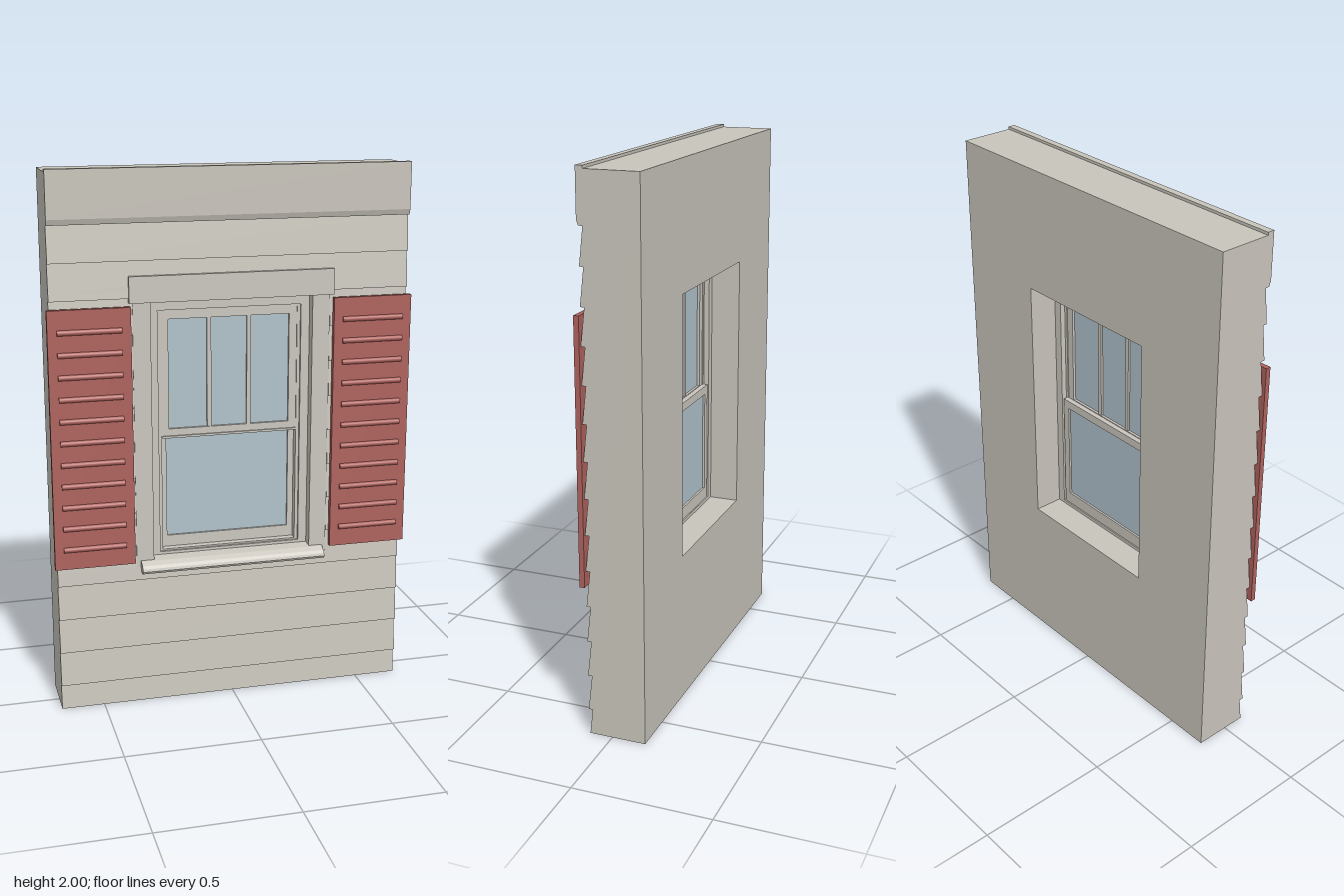
import * as THREE from 'three';

const mat = (name, color, side = THREE.FrontSide) => {
  const m = new THREE.MeshStandardMaterial({ color, side });
  m.name = name;
  return m;
};

export function createModel() {
  const wallMat = mat('wall paint', 0xc8c4bb);
  const trimMat = mat('trim paint', 0xcac6be);
  const shutterMat = mat('shutter red', 0xae625d);
  const glassMat = mat('glass blue', 0xb1c2cb);
  const model = new THREE.Group();

  const add = (name, geo, material, parent = model) => {
    const mesh = new THREE.Mesh(geo, material);
    mesh.name = name;
    parent.add(mesh);
    return mesh;
  };
  const group = (name) => {
    const g = new THREE.Group();
    g.name = name;
    model.add(g);
    return g;
  };
  // box given by its limits
  const box = (x0, x1, y0, y1, z0, z1) =>
    new THREE.BoxGeometry(x1 - x0, y1 - y0, z1 - z0)
      .translate((x0 + x1) / 2, (y0 + y1) / 2, (z0 + z1) / 2);
  // rectangular plate with a rectangular hole; limits are [half width, bottom, top]
  const frame = ([w, b, t], [hw, hb, ht], z0, z1) => {
    const corners = (a, lo, hi) => [[-a, lo], [a, lo], [a, hi], [-a, hi]].map((p) => new THREE.Vector2(...p));
    const s = new THREE.Shape(corners(w, b, t));
    s.holes.push(new THREE.Path(corners(hw, hb, ht)));
    return new THREE.ExtrudeGeometry(s, { depth: z1 - z0, bevelEnabled: false }).translate(0, 0, z0);
  };
  // (z, y) profile swept along x
  const sweep = (points, x0, x1) => {
    const s = new THREE.Shape(points.map((p) => new THREE.Vector2(...p)));
    return new THREE.ExtrudeGeometry(s, { depth: x1 - x0, bevelEnabled: false })
      .rotateY(-Math.PI / 2).translate(x1, 0, 0);
  };

  // wall core with the window opening
  const W = 0.66, FACE = 0.07, OPEN = [0.3, 0.565, 1.53];
  add('wall', frame([W, 0, 1.99], OPEN, -0.125, FACE), wallMat);

  // lapped siding: each board leans out towards its bottom edge
  const STEP = 0.132, FIRST = 0.095 - STEP, OUT = 0.089, IN = 0.074;
  const siding = group('siding');
  const boards = (x0, x1, lo, hi) => {
    for (let k = 0; k < 14; k++) {
      const b = FIRST + k * STEP, y0 = Math.max(b, lo), y1 = Math.min(b + STEP, hi);
      if (y1 - y0 < 0.001) continue;
      const z = (y) => OUT + (IN - OUT) * (y - b) / STEP;
      add('sidingBoard', sweep([[FACE, y0], [z(y0), y0], [z(y1), y1], [FACE, y1]], x0, x1), wallMat, siding);
    }
  };
  boards(-W, W, 0, 0.54);
  boards(-W, -0.365, 0.54, 1.57);
  boards(0.365, W, 0.54, 1.57);
  boards(-W, W, 1.57, 1.83);
  add('friezeBoard', sweep([[FACE, 1.81], [0.089, 1.81], [0.096, 1.83], [0.096, 2], [FACE, 2]], -W, W), wallMat);

  // casing round the opening
  const casing = group('casing');
  for (const s of [-1, 1]) {
    const x = [0.3 * s, 0.365 * s].sort((a, b) => a - b);
    add('sideCasing', box(...x, 0.54, 1.53, FACE, 0.083), trimMat, casing);
  }
  add('headCasing', box(-0.378, 0.378, 1.53, 1.625, FACE, 0.095), trimMat, casing);

  // sloping sill with a rounded nose
  add('sill', sweep([[0.04, 0.53], [0.11, 0.52], [0.12, 0.524], [0.125, 0.533], [0.122, 0.543],
    [0.112, 0.552], [0.092, 0.563], [0.04, 0.568]], -0.35, 0.35), trimMat);

  // fixed window frame and stops
  const windowFrame = group('windowFrame');
  add('outerFrame', frame(OPEN, [0.268, 0.578, 1.492], -0.015, 0.045), trimMat, windowFrame);
  add('stop', frame([0.268, 0.578, 1.492], [0.256, 0.584, 1.482], 0.005, 0.036), trimMat, windowFrame);

  // upper sash sits outside the lower one
  const upper = group('upperSash');
  add('sashFrame', frame([0.256, 1.015, 1.482], [0.227, 1.048, 1.456], 0.008, 0.032), trimMat, upper);
  add('meetingRailLip', box(-0.256, 0.256, 1.014, 1.022, 0.008, 0.038), trimMat, upper);
  add('glass', box(-0.23, 0.23, 1.04, 1.46, 0.018, 0.022), glassMat, upper);
  for (const x of [-0.075, 0.075])
    add('muntin', box(x - 0.008, x + 0.008, 1.045, 1.458, 0.01, 0.03), trimMat, upper);

  const lower = group('lowerSash');
  add('sashFrame', frame([0.262, 0.58, 1.045], [0.234, 0.627, 1.013], -0.012, 0.008), trimMat, lower);
  add('glass', box(-0.238, 0.238, 0.62, 1.02, -0.004, 0), glassMat, lower);

  // shutters with rounded slats
  for (const s of [-1, 1]) {
    const shutter = group(s > 0 ? 'leftShutter' : 'rightShutter');
    const cx = 0.5225 * s;
    add('shutterPanel', box(cx - 0.148, cx + 0.148, 0.565, 1.52, 0.09, 0.109), shutterMat, shutter);
    for (let i = 0; i < 11; i++) {
      const slat = new THREE.CylinderGeometry(0.01, 0.01, 0.23, 12).rotateZ(Math.PI / 2);
      add('slat', slat.translate(cx, 0.64 + i * 0.08, 0.109), shutterMat, shutter);
    }
  }
  return model;
}
